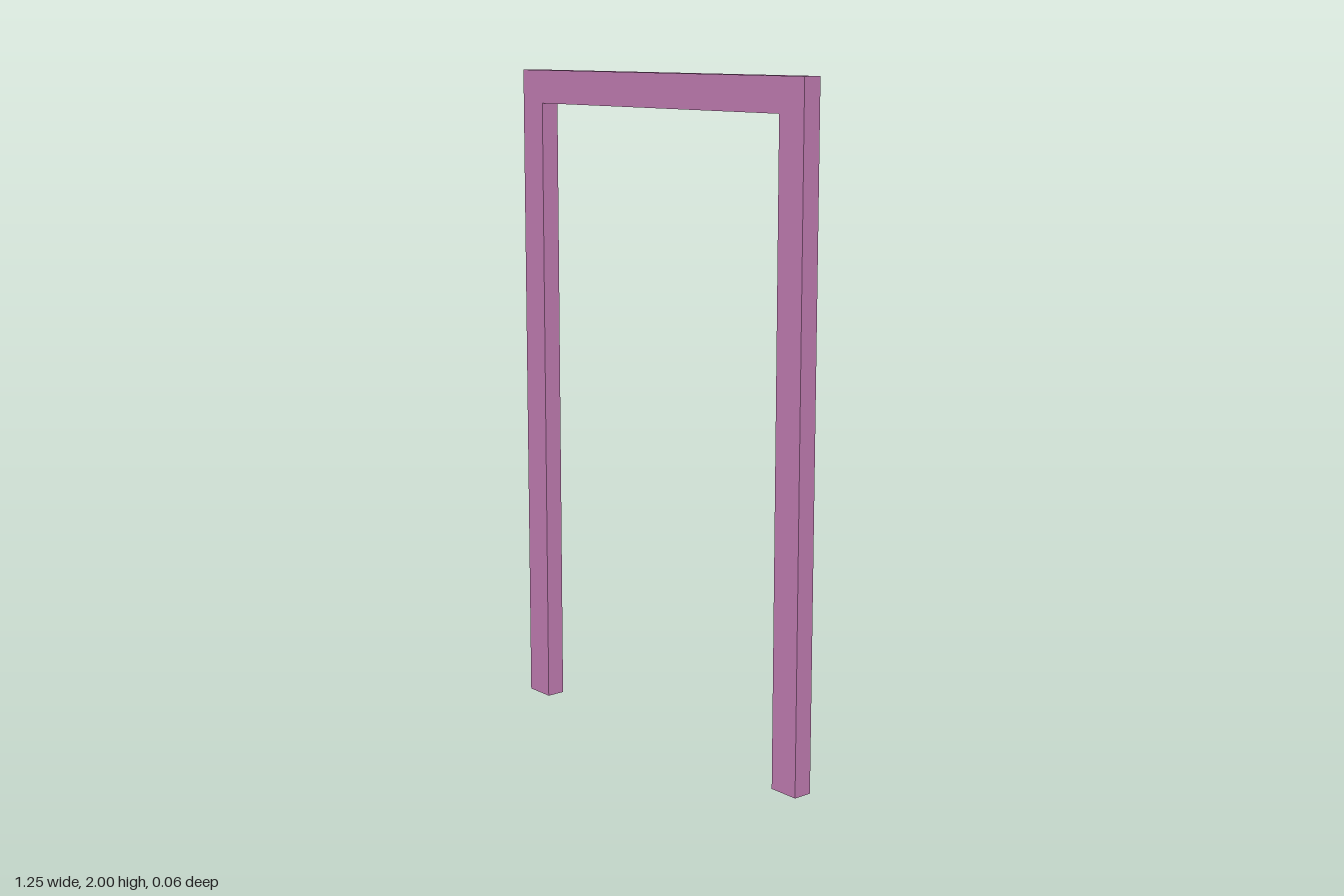
import * as THREE from 'three';

// Door frame: two jambs joined by a head, one continuous U-shaped profile
export function createModel() {
  const halfWidth = 0.626, innerHalf = 0.53;
  const height = 2, innerHeight = 1.9, depth = 0.058;

  const profile = new THREE.Shape([
    [-halfWidth, 0], [-innerHalf, 0], [-innerHalf, innerHeight], [innerHalf, innerHeight],
    [innerHalf, 0], [halfWidth, 0], [halfWidth, height], [-halfWidth, height],
  ].map(([x, y]) => new THREE.Vector2(x, y)));

  const geometry = new THREE.ExtrudeGeometry(profile, { depth, bevelEnabled: false });
  geometry.translate(0, 0, -depth / 2);

  const frame = new THREE.Mesh(geometry, new THREE.MeshStandardMaterial({ color: 0xc780b8 }));
  frame.name = 'doorFrame';

  const model = new THREE.Group();
  model.name = 'doorway';
  model.add(frame);
  return model;
}
